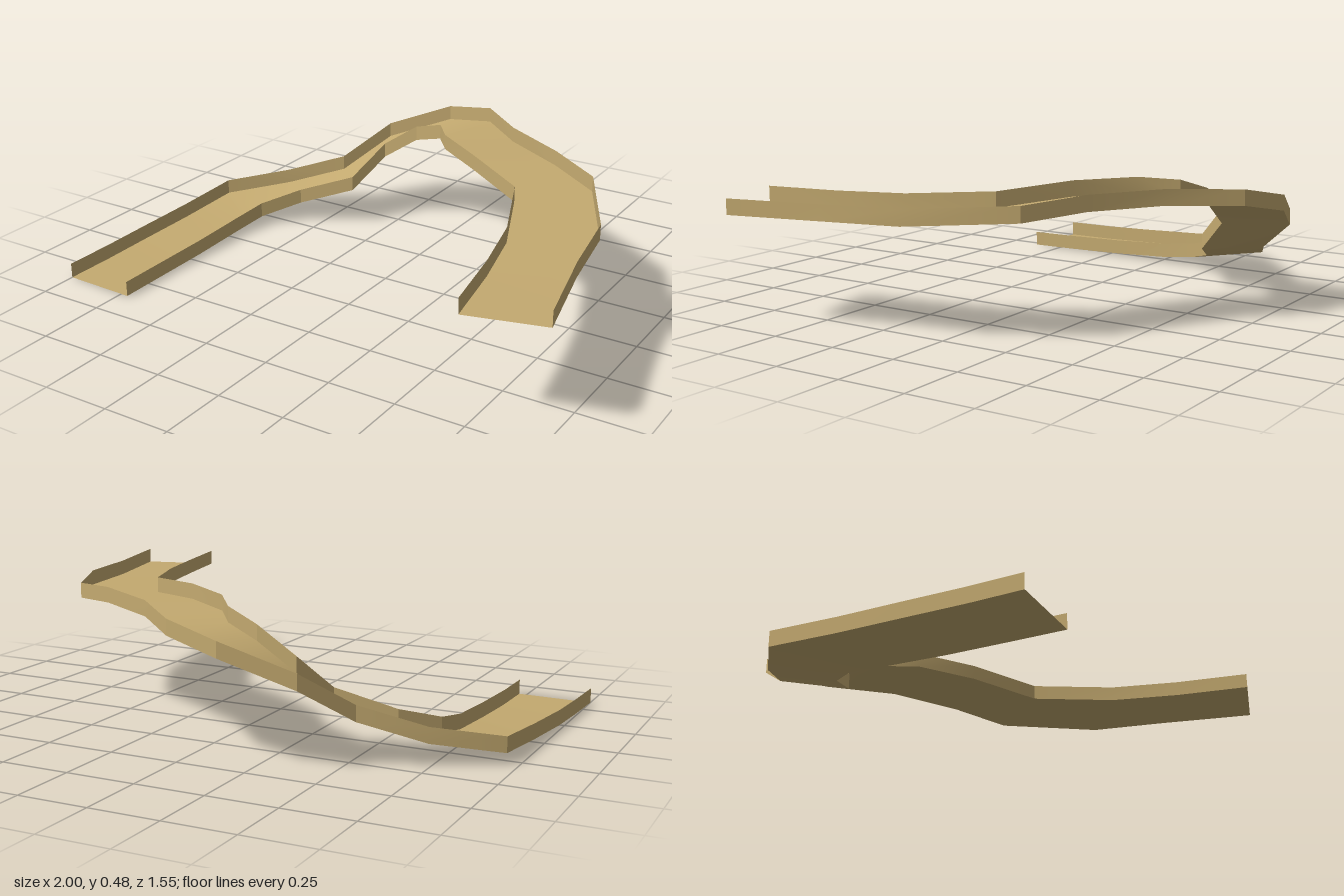
import * as THREE from 'three';
import { toCreasedNormals } from 'three/addons/utils/BufferGeometryUtils.js';

// Stations along the chute: outer x, outer z, inner x, inner z, floor height
const STATIONS = [
  [-1.0, 0.61, -0.72, 0.62, 0.0],
  [-0.995, 0.42, -0.72, 0.43, 0.002],
  [-0.99, 0.22, -0.715, 0.21, 0.008],
  [-0.975, -0.03, -0.71, -0.03, 0.02],
  [-0.96, -0.29, -0.69, -0.16, 0.038],
  [-0.75, -0.44, -0.58, -0.28, 0.08],
  [-0.54, -0.54, -0.38, -0.36, 0.15],
  [-0.41, -0.7, -0.3, -0.48, 0.272],
  [-0.17, -0.78, -0.16, -0.49, 0.367],
  [0.04, -0.73, -0.03, -0.45, 0.41],
  [0.24, -0.54, 0.06, -0.33, 0.422],
  [0.49, -0.39, 0.26, -0.19, 0.424],
  [0.69, -0.27, 0.5, -0.04, 0.406],
  [0.87, 0.07, 0.62, 0.25, 0.39],
  [0.92, 0.36, 0.68, 0.5, 0.386],
  [1.0, 0.7, 0.73, 0.77, 0.386],
];
const WALL = 0.056;

// Ribbon of quads between two edge lines
function ribbon(edgeA, edgeB) {
  const positions = [], index = [];
  edgeA.forEach((a, i) => {
    positions.push(...a, ...edgeB[i]);
    if (i === 0) return;
    const k = 2 * (i - 1);
    index.push(k, k + 1, k + 2, k + 1, k + 3, k + 2);
  });
  const geometry = new THREE.BufferGeometry();
  geometry.setAttribute('position', new THREE.Float32BufferAttribute(positions, 3));
  geometry.setIndex(index);
  geometry.computeVertexNormals();
  return geometry;
}

export function createModel() {
  const group = new THREE.Group();
  group.name = 'curvedChute';
  const material = new THREE.MeshStandardMaterial({ color: 0xc4aa70, side: THREE.DoubleSide });

  const outer = (lift) => STATIONS.map(([x, z, , , y]) => [x, y + lift, z]);
  const inner = (lift) => STATIONS.map(([, , x, z, y]) => [x, y + lift, z]);
  const add = (name, geometry) => {
    const mesh = new THREE.Mesh(geometry, material);
    mesh.name = name;
    group.add(mesh);
  };

  // Smooth floor, with a thin upright wall along each edge
  add('floor', ribbon(outer(0), inner(0)));
  add('outerWall', toCreasedNormals(ribbon(outer(0), outer(WALL)), 0.35));
  add('innerWall', toCreasedNormals(ribbon(inner(WALL), inner(0)), 0.35));
  return group;
}
